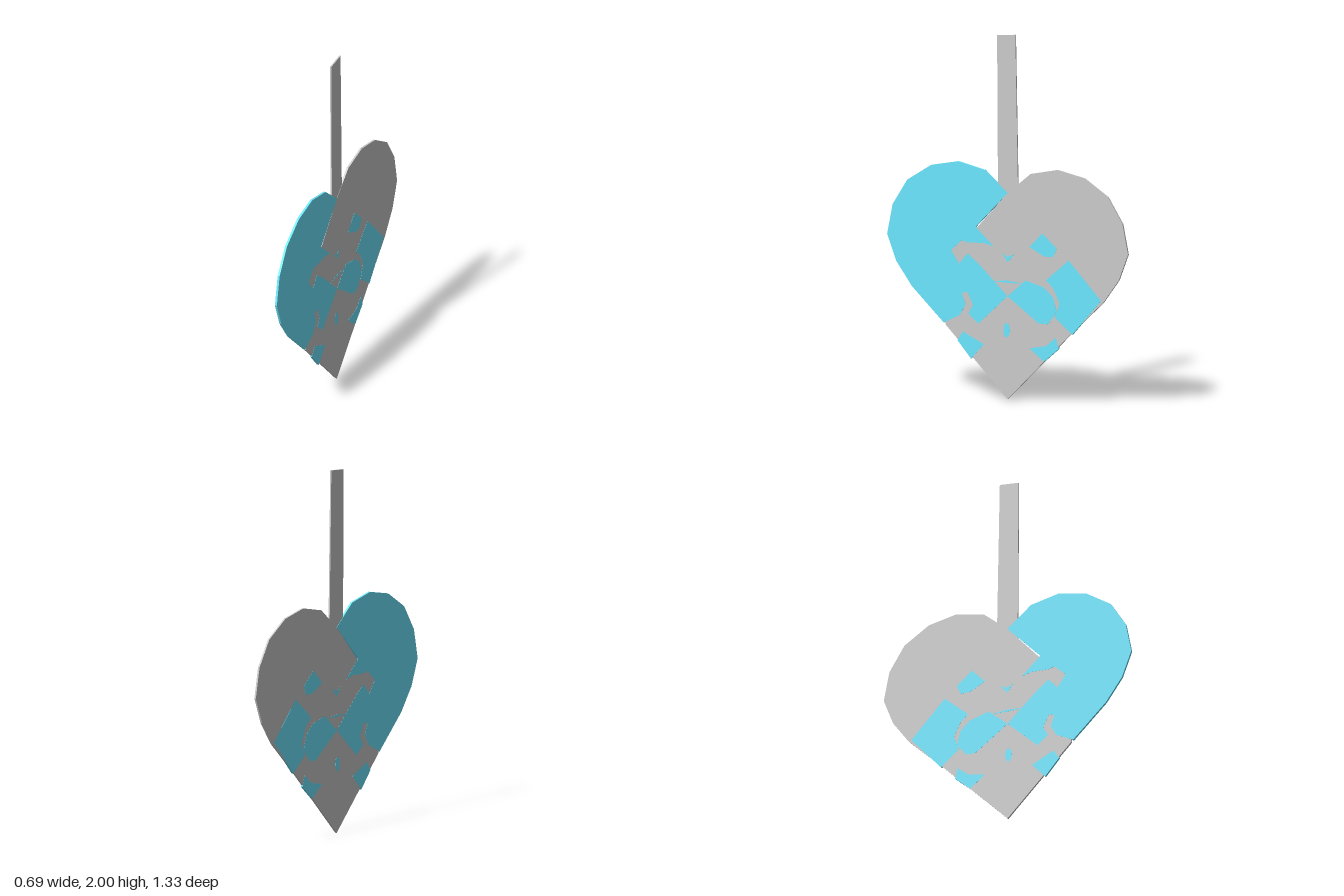
import * as THREE from 'three';

const grey = new THREE.MeshStandardMaterial({ color: 0xcccccc, flatShading: true });
const cyan = new THREE.MeshStandardMaterial({ color: 0x6ce8ff, flatShading: true });
const STRETCH = 1.125; // width scale within the heart's plane

// Flat sheet cut to a polygon, centred on the heart's plane
function sheet(name, points, thickness, material) {
  const shape = new THREE.Shape(points.map(([s, y]) => new THREE.Vector2(s * STRETCH, y)));
  const geometry = new THREE.ExtrudeGeometry(shape, { depth: thickness, bevelEnabled: false });
  geometry.translate(0, 0, -thickness / 2);
  const mesh = new THREE.Mesh(geometry, material);
  mesh.name = name;
  return mesh;
}

const mirror = (points) => points.map(([s, y]) => [-s, y]);

export function createModel() {
  const heart = new THREE.Group();
  heart.name = 'wovenHeart';
  const T = 0.012, BASE = 0.0105;

  // Round side of one lobe, from the lower flank up to the notch
  const lobe = [[0.35, 0.39], [0.525, 0.575], [0.61, 0.705], [0.66, 0.85], [0.63, 1.015],
    [0.55, 1.155], [0.42, 1.247], [0.272, 1.28], [0.125, 1.245], [0, 1.13]];

  // Grey half with the woven centre
  heart.add(sheet('greyHalf', [[0, 0], ...mirror(lobe), [0.165, 0.93], [0.26, 0.87],
    [0.34, 0.8], [0.33, 0.6], [0.34, 0.38]], BASE, grey));

  // Cyan half, with its woven inner edge
  heart.add(sheet('cyanHalf', [...lobe, [0.175, 0.93], [0.075, 0.83], [0.13, 0.845],
    [0.22, 0.84], [0.25, 0.85], [0.31, 0.79], [0.265, 0.72], [0.22, 0.78], [0.16, 0.73],
    [0, 0.565], [0.16, 0.4], [0.215, 0.45], [0.19, 0.5], [0.22, 0.57], [0.25, 0.56],
    [0.23, 0.5], [0.26, 0.44]], T, cyan));

  // Cyan strips showing through the weave
  const strips = [
    [[0, 0.565], [-0.1, 0.66], [-0.2, 0.63], [-0.25, 0.58], [-0.27, 0.5], [-0.22, 0.43], [-0.17, 0.43]],
    [[-0.335, 0.79], [-0.513, 0.583], [-0.355, 0.385], [-0.26, 0.47], [-0.285, 0.55], [-0.25, 0.63], [-0.21, 0.67]],
    [[-0.19, 0.925], [-0.27, 0.85], [-0.25, 0.8], [-0.2, 0.8], [-0.12, 0.845]],
    [[-0.265, 0.36], [-0.28, 0.3], [-0.2, 0.223], [-0.12, 0.29], [-0.21, 0.31]],
    [[0.275, 0.3], [0.245, 0.35], [0.13, 0.29], [0.2, 0.205]],
    [[0.03, 0.8], [0, 0.75], [-0.04, 0.8], [0, 0.78]],
    [[0.1, 0.64], [0, 0.65], [-0.1, 0.64], [0, 0.638]],
  ];
  strips.forEach((points, i) => heart.add(sheet(`cyanStrip${i + 1}`, points, T, cyan)));

  // Small oval spot in the lower weave
  const oval = Array.from({ length: 12 }, (_, i) => {
    const a = (i / 12) * Math.PI * 2;
    return [0.005 + 0.018 * Math.cos(a), 0.378 + 0.04 * Math.sin(a)];
  });
  heart.add(sheet('cyanSpot', oval, T, cyan));

  // Hanging strap
  heart.add(sheet('hangingStrap', [[0.053, 1.06], [-0.058, 1.06], [-0.042, 2], [0.058, 1.99]], 0.008, grey));

  // Turn the flat heart to its diagonal stance
  heart.rotation.y = -1.096;
  const model = new THREE.Group();
  model.name = 'heartOrnament';
  model.add(heart);
  return model;
}
